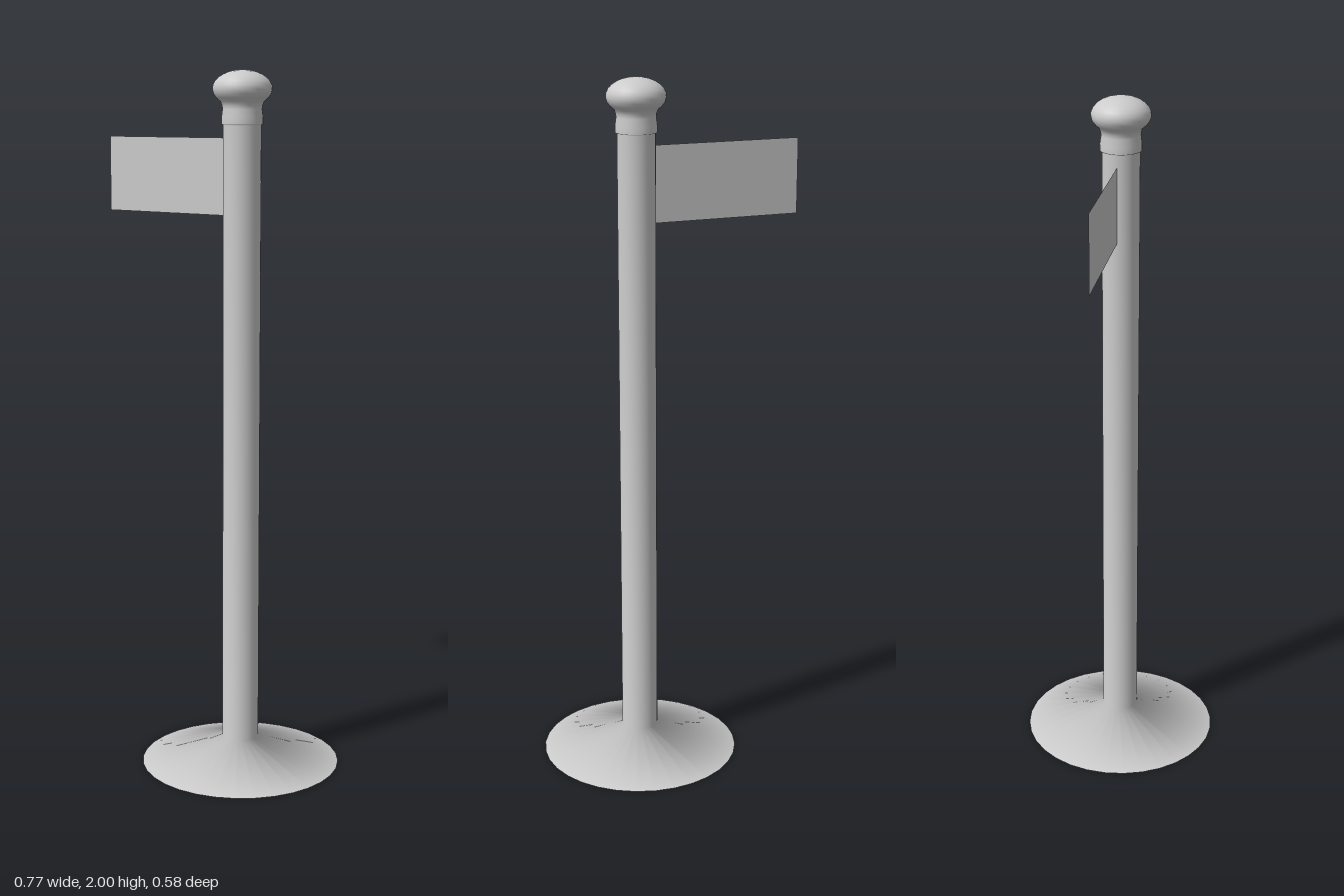
import * as THREE from 'three';

export function createModel() {
  const group = new THREE.Group();
  const material = new THREE.MeshStandardMaterial({ color: 0xcccccc, side: THREE.DoubleSide });
  const axisX = 0.097;

  const turned = (name, profile) => {
    const points = profile.map(([r, y]) => new THREE.Vector2(r, y));
    const mesh = new THREE.Mesh(new THREE.LatheGeometry(points, 32), material);
    mesh.name = name;
    mesh.position.x = axisX;
    group.add(mesh);
  };

  // Open conical foot flowing into the straight post and its small top lip
  turned('baseAndPost', [[0.289, 0], [0.053, 0.075], [0.053, 1.85], [0.058, 1.852]]);

  // Collar, pinched neck and flattened round knob
  const knob = [[0.058, 1.852], [0.058, 1.87], [0.055, 1.893], [0.056, 1.903]];
  for (let i = 0; i <= 10; i++) {
    const a = THREE.MathUtils.lerp(-0.75, Math.PI / 2, i / 10);
    knob.push([Math.max(0, 0.083 * Math.cos(a)), 1.949 + 0.051 * Math.sin(a)]);
  }
  turned('finial', knob);

  // Flat belt reaching out from the post
  const left = -0.388, right = 0.05, bottom = 1.6, top = 1.815;
  const belt = new THREE.Mesh(new THREE.PlaneGeometry(right - left, top - bottom), material);
  belt.name = 'belt';
  belt.position.set((left + right) / 2, (bottom + top) / 2, -0.003);
  group.add(belt);

  return group;
}
